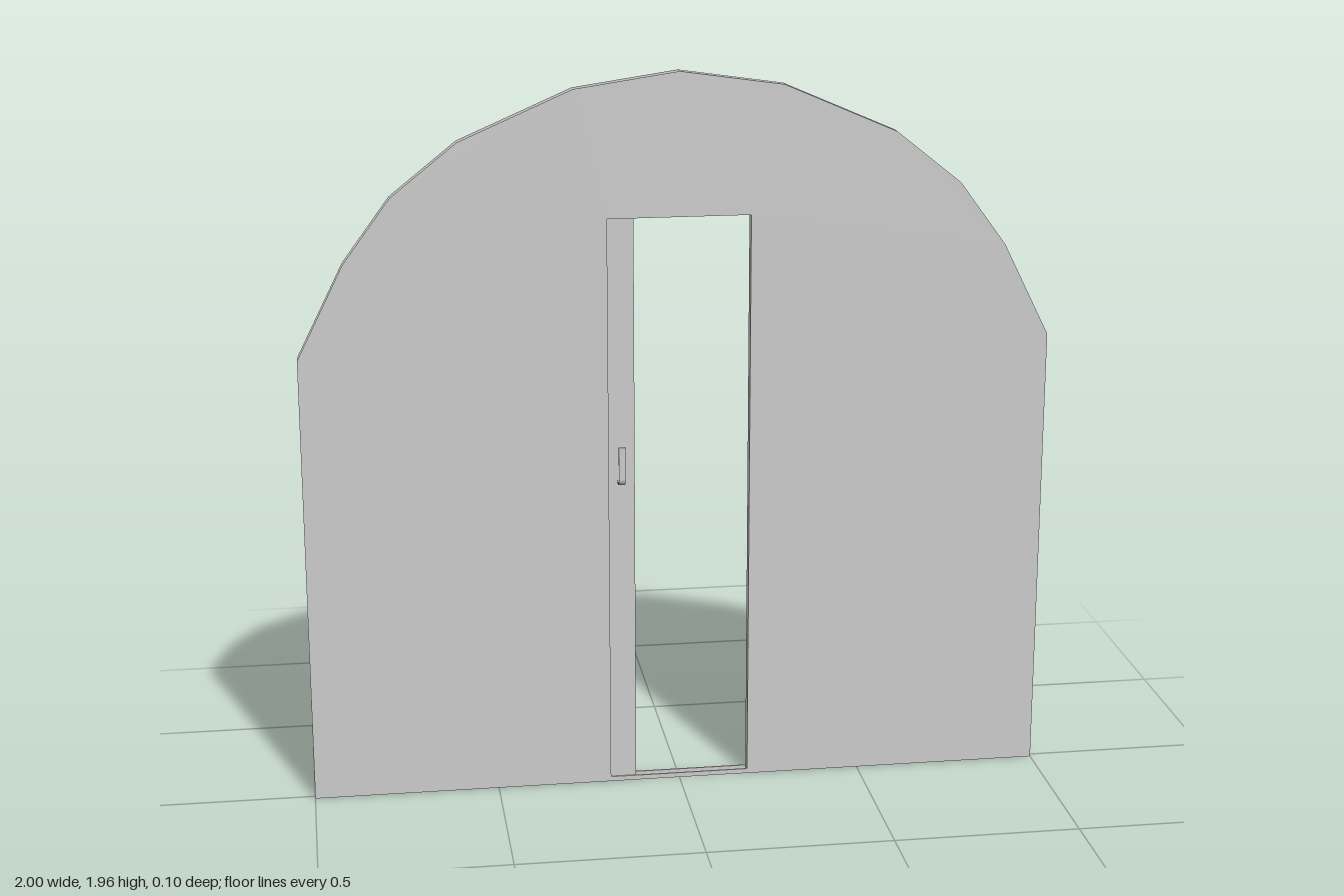
import * as THREE from 'three';

const T = 0.015; // half thickness of the wall
const grey = new THREE.MeshStandardMaterial({ color: 0xcccccc, flatShading: true });
const thin = new THREE.MeshStandardMaterial({ color: 0xcccccc, flatShading: true, side: THREE.DoubleSide });

function add(parent, name, geometry, material, x = 0, y = 0, z = 0) {
  const mesh = new THREE.Mesh(geometry, material);
  mesh.name = name;
  mesh.position.set(x, y, z);
  parent.add(mesh);
  return mesh;
}

// Strip across the wall thickness, following a path of [x, y] points
function edgeStrip(path) {
  const v = [];
  for (let i = 0; i < path.length - 1; i++) {
    const [ax, ay] = path[i], [bx, by] = path[i + 1];
    v.push(ax, ay, T, bx, by, T, bx, by, -T, ax, ay, T, bx, by, -T, ax, ay, -T);
  }
  const g = new THREE.BufferGeometry();
  g.setAttribute('position', new THREE.Float32BufferAttribute(v, 3));
  g.computeVertexNormals();
  return g;
}

// Flat J-shaped pull: out from the door, then upward
function handleGeometry() {
  const t = 0.005, out = 0.05, low = 0.862, top = 0.97, r = 0.02, w = 0.018;
  const s = new THREE.Shape();
  s.moveTo(0, low);
  s.lineTo(out - r, low);
  s.absarc(out - r, low + r, r, -Math.PI / 2, 0, false);
  s.lineTo(out, top);
  s.lineTo(out - t, top);
  s.lineTo(out - t, low + r);
  s.absarc(out - r, low + r, r - t, 0, -Math.PI / 2, true);
  s.lineTo(0, low + t);
  const g = new THREE.ExtrudeGeometry(s, { depth: w, bevelEnabled: false, curveSegments: 5 });
  g.translate(0, 0, -w / 2);
  g.rotateY(-Math.PI / 2);
  return g;
}

export function createModel() {
  const model = new THREE.Group();
  model.name = 'archedWallWithSlidingDoor';

  // Half outline of the arch and the doorway
  const arch = [[0, 1.96], [0.275, 1.92], [0.575, 1.79], [0.75, 1.65], [0.875, 1.48], [1, 1.23], [1, 0]];
  const doorway = [[0.19, 0], [0.19, 1.58]];
  const half = [...arch, ...doorway];
  const mirrored = half.slice(1).reverse().map(([x, y]) => [-x, y]);
  const outline = new THREE.Shape([...half, ...mirrored].map(([x, y]) => new THREE.Vector2(x, y)));

  // Two wall skins; the pocket side between them stays open
  add(model, 'frontWallPanel', new THREE.ShapeGeometry(outline), thin, 0, 0, T);
  const back = add(model, 'backWallPanel', new THREE.ShapeGeometry(outline), thin, 0, 0, -T);
  back.rotation.y = Math.PI;

  // Rim of the solid side, its foot, the door jamb and the soffit
  add(model, 'wallRim', edgeStrip([...half, [-0.19, 1.58]]), grey);

  // Floor rails on both sides of the door track
  for (const s of [1, -1]) {
    add(model, 'floorRail', new THREE.BoxGeometry(0.38, 0.013, 0.004), grey, 0, 0.0065, s * (T - 0.002));
  }

  // Sliding door, mostly drawn back into the pocket: two faces and a leading edge
  const door = new THREE.Group();
  door.name = 'slidingDoor';
  model.add(door);
  const z = 0.01, h = 1.58, w = 0.38, lead = -0.12;
  for (const s of [1, -1]) {
    const face = add(door, 'doorFace', new THREE.PlaneGeometry(w, h), thin, lead - w / 2, h / 2, s * z);
    if (s < 0) face.rotation.y = Math.PI;
    // Pull handle on each face
    const handle = add(door, 'handle', handleGeometry(), grey, -0.158, 0, 0);
    if (s < 0) handle.rotation.y = Math.PI;
  }
  const edge = add(door, 'doorLeadingEdge', new THREE.PlaneGeometry(2 * z, h), grey, lead, h / 2, 0);
  edge.rotation.y = Math.PI / 2;

  return model;
}
